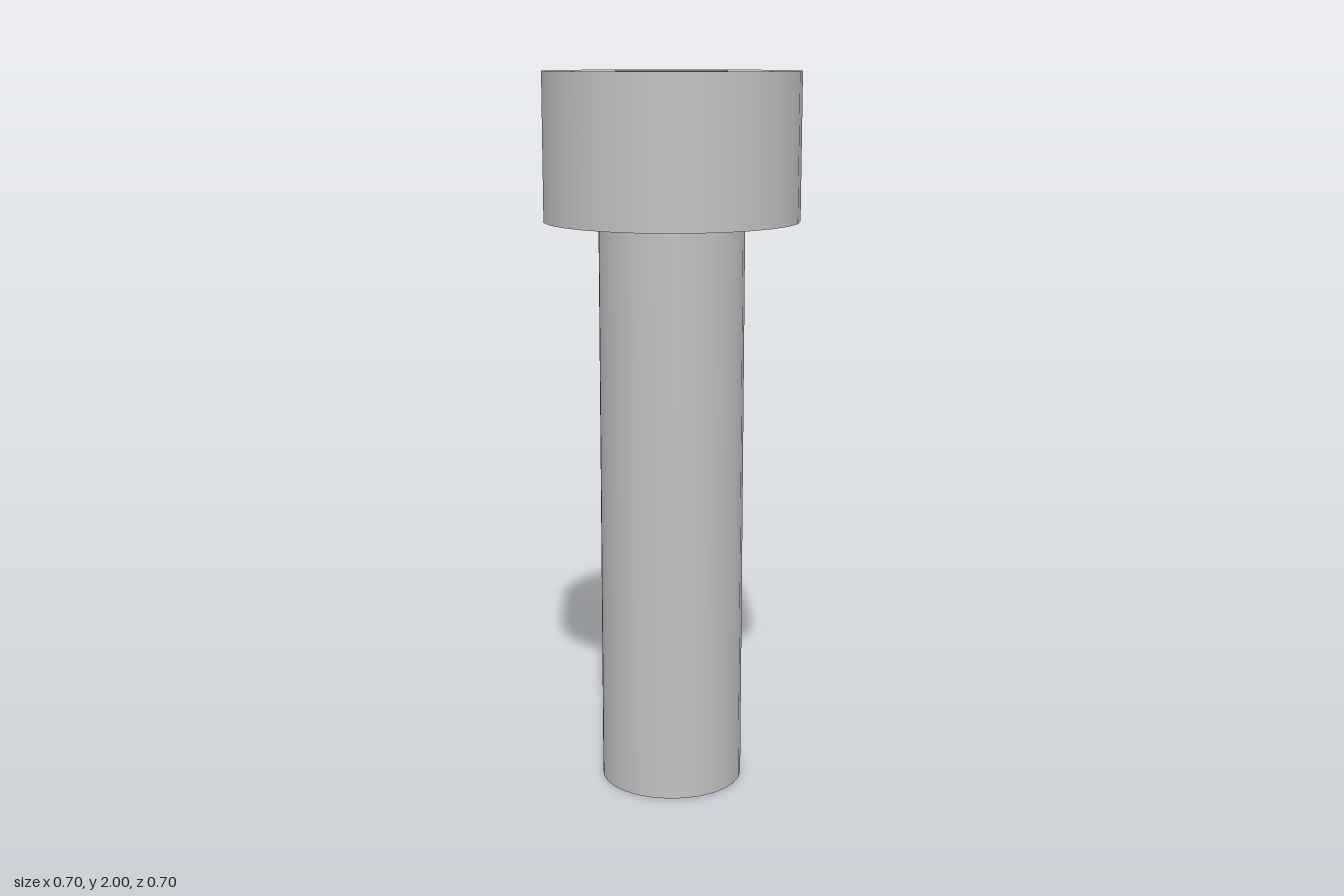
import * as THREE from 'three';

const SIDES = 28;
const TURN = THREE.MathUtils.degToRad(3.4);      // rotation of the round facets
const HEX_TURN = THREE.MathUtils.degToRad(42.4); // rotation of the hexagon
const HEAD_R = 0.35, SHANK_R = 0.2, HEX_R = 0.174;
const HEIGHT = 2, HEAD_BASE = 1.6, SOCKET_FLOOR = 1.8;

// Corners of a regular polygon, matching CylinderGeometry's angles
function polygon(radius, sides, turn, flip) {
  return Array.from({ length: sides }, (_, i) => {
    const a = turn + (i / sides) * Math.PI * 2;
    return new THREE.Vector2(radius * Math.sin(a), flip * radius * Math.cos(a));
  });
}

// Horizontal plate at height y, facing up (+1) or down (-1), with an optional hole
function plate(y, up, outer, hole) {
  const shape = new THREE.Shape(polygon(...outer, -up));
  if (hole) shape.holes.push(new THREE.Path(polygon(...hole, -up)));
  return new THREE.ShapeGeometry(shape).rotateX((-up * Math.PI) / 2).translate(0, y, 0);
}

// Open upright wall between two heights
function wall(radius, sides, turn, y0, y1) {
  return new THREE.CylinderGeometry(radius, radius, y1 - y0, sides, 1, true, turn)
    .translate(0, (y0 + y1) / 2, 0);
}

export function createModel() {
  const steel = new THREE.MeshStandardMaterial({ color: 0xc0c0c0 });
  steel.name = 'steel grey';

  const bolt = new THREE.Group();
  bolt.name = 'socketHeadBolt';
  const add = (name, geometry) => {
    const mesh = new THREE.Mesh(geometry, steel);
    mesh.name = name;
    bolt.add(mesh);
  };

  const headRing = [HEAD_R, SIDES, TURN];
  const shankRing = [SHANK_R, SIDES, TURN];
  const hexRing = [HEX_R, 6, HEX_TURN];

  // Shank
  add('shank', wall(...shankRing, 0, HEAD_BASE));
  add('shankEnd', plate(0, -1, shankRing));

  // Head
  add('headSide', wall(...headRing, HEAD_BASE, HEIGHT));
  add('headUnderside', plate(HEAD_BASE, -1, headRing, shankRing));
  add('headTop', plate(HEIGHT, 1, headRing, hexRing));

  // Hexagonal socket: walls turned to face inward, with flat shading
  const hexWall = wall(...hexRing, SOCKET_FLOOR, HEIGHT);
  hexWall.index.array.reverse();
  const socketWalls = hexWall.toNonIndexed();
  socketWalls.computeVertexNormals();
  add('socketWalls', socketWalls);
  add('socketFloor', plate(SOCKET_FLOOR, 1, hexRing));

  return bolt;
}
